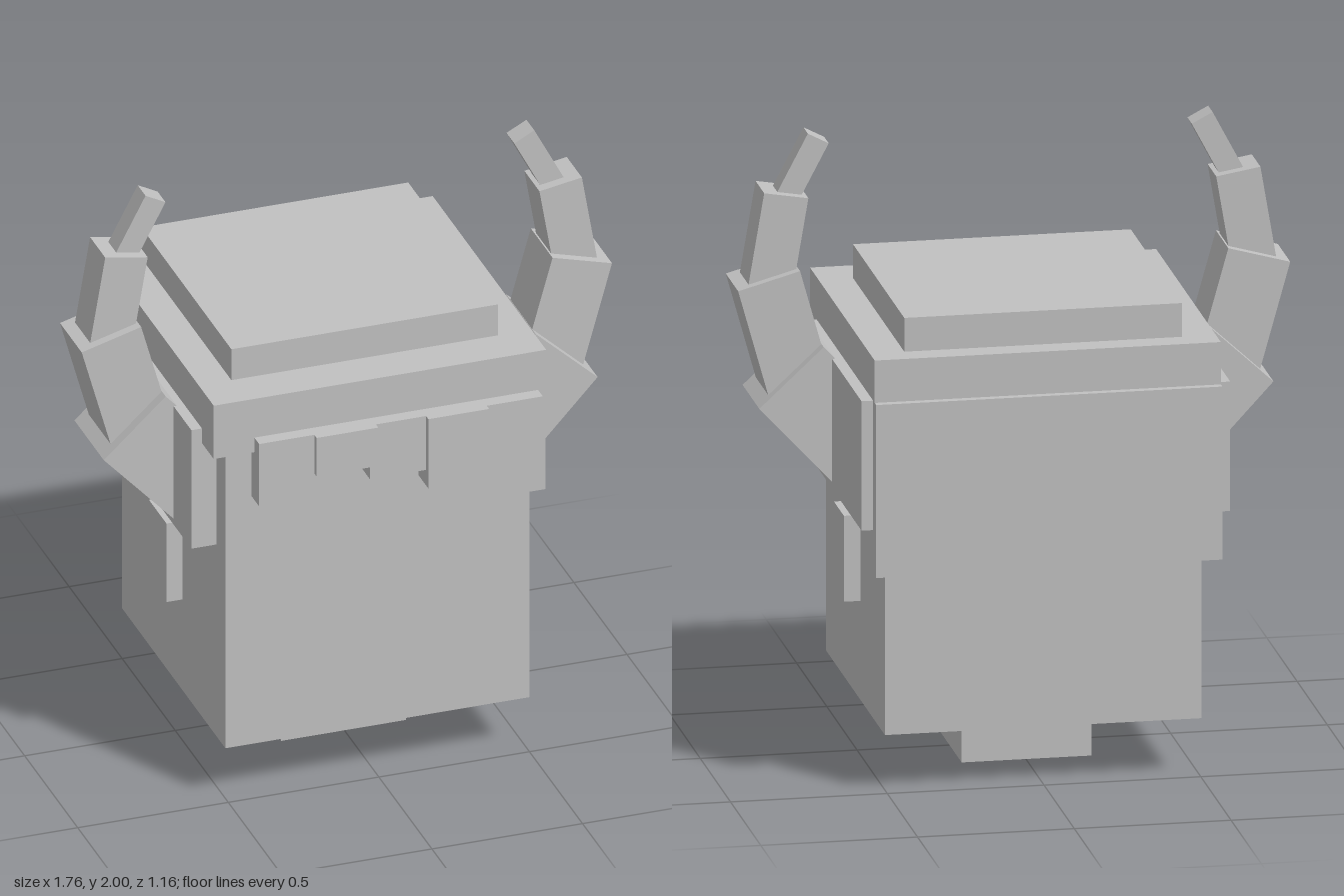
import * as THREE from 'three';

export function createModel() {
  const model = new THREE.Group();
  model.name = 'hornedHead';
  const gray = new THREE.MeshStandardMaterial({ color: 0xc0c0c0 });
  gray.name = 'light gray';

  // Axis-aligned block given by its extents
  function block(name, [x0, x1], [y0, y1], [z0, z1], parent = model) {
    const mesh = new THREE.Mesh(new THREE.BoxGeometry(x1 - x0, y1 - y0, z1 - z0), gray);
    mesh.position.set((x0 + x1) / 2, (y0 + y1) / 2, (z0 + z1) / 2);
    mesh.name = name;
    parent.add(mesh);
    return mesh;
  }

  // Neck and head
  block('neck', [-0.21, 0.205], [0, 0.19], [-0.2, 0.175]);
  block('head', [-0.505, 0.505], [0.187, 1.3], [-0.487, 0.487]);

  // Hair: crown, cap, and back
  block('hairCrown', [-0.553, 0.551], [1.24, 1.43], [-0.556, 0.513]);
  block('hairTop', [-0.445, 0.441], [1.42, 1.54], [-0.475, 0.373]);
  block('hairBack', [-0.553, 0.551], [0.728, 1.292], [-0.581, -0.44]);

  // Fringe locks: x start, x end, lower edge, front face
  const locks = [
    [-0.418, -0.216, 1.07, 0.558],
    [-0.235, -0.03, 1.155, 0.58],
    [-0.05, 0.14, 1.1, 0.558],
    [0.136, 0.338, 1.045, 0.58],
    [0.33, 0.524, 1.13, 0.558],
  ];
  const fringe = new THREE.Group();
  fringe.name = 'fringe';
  model.add(fringe);
  for (const [x0, x1, y0, z1] of locks) {
    block('fringeLock', [x0, x1], [y0, 1.292], [z1 - 0.135, z1], fringe);
  }

  // Horn segments: centre x, centre y, width, length, depth, tilt in radians
  const segments = [
    ['hornBase', 0.6, 1.11, 0.28, 0.345, 0.277, -0.747],
    ['hornLower', 0.73, 1.36, 0.205, 0.385, 0.205, -0.272],
    ['hornUpper', 0.746, 1.664, 0.143, 0.3, 0.143, 0.168],
    ['hornTip', 0.665, 1.883, 0.075, 0.226, 0.074, 0.485],
  ];

  // Paired parts on both sides
  for (const [side, s] of [['left', 1], ['right', -1]]) {
    const span = (a, b) => (s > 0 ? [a, b] : [-b, -a]);
    block(side + 'Ear', span(0.45, 0.558), [0.51, 0.79], [-0.083, 0.082]);
    block(side + 'SideHair', span(0.45, 0.588), [0.87, 1.292], [-0.53, 0.402]);

    const horn = new THREE.Group();
    horn.name = side + 'Horn';
    for (const [name, x, y, width, length, depth, tilt] of segments) {
      const mesh = new THREE.Mesh(new THREE.BoxGeometry(width, length, depth), gray);
      mesh.position.set(s * x, y, 0.096);
      mesh.rotation.z = s * tilt;
      mesh.name = name;
      horn.add(mesh);
    }
    model.add(horn);
  }
  return model;
}
